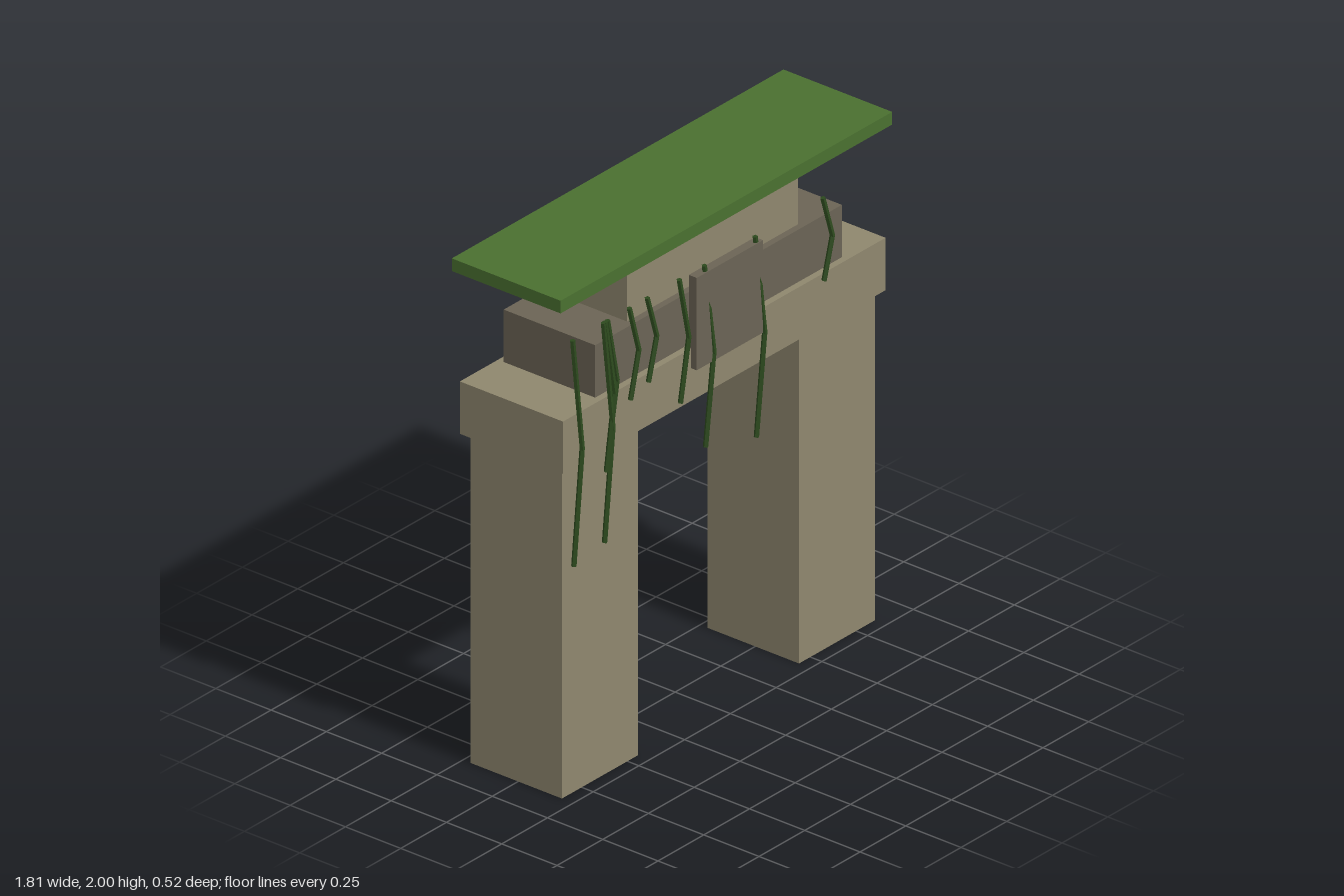
import * as THREE from 'three';

const material = (color) => new THREE.MeshStandardMaterial({ color, flatShading: true });

export function createModel() {
  const model = new THREE.Group();
  model.name = 'stoneArch';

  const stone = material(0x8f876e);
  const darkStone = material(0x6b6455);
  const moss = material(0x4a7030);
  const vineGreen = material(0x2d4a1e);

  // Box given by its extents on each axis
  function block(name, mat, [x0, x1], [y0, y1], [z0, z1]) {
    const mesh = new THREE.Mesh(new THREE.BoxGeometry(x1 - x0, y1 - y0, z1 - z0), mat);
    mesh.position.set((x0 + x1) / 2, (y0 + y1) / 2, (z0 + z1) / 2);
    mesh.name = name;
    model.add(mesh);
  }

  // Pillars, lintel and stepped crown
  block('rightPillar', stone, [-0.858, -0.443], [0, 1.302], [-0.216, 0.198]);
  block('leftPillar', stone, [0.438, 0.853], [0, 1.302], [-0.216, 0.198]);
  block('lintel', stone, [-0.884, 0.88], [1.302, 1.509], [-0.242, 0.224]);
  block('middleStep', darkStone, [-0.676, 0.672], [1.509, 1.716], [-0.216, 0.198]);
  block('topStep', stone, [-0.47, 0.465], [1.716, 1.922], [-0.19, 0.172]);

  // Floating mossy slab and front plaque
  block('mossSlab', moss, [-0.909, 0.904], [1.95, 2], [-0.258, 0.234]);
  block('plaque', darkStone, [-0.184, 0.179], [1.432, 1.797], [0.214, 0.25]);

  // Hanging vines, each bent once halfway down: [x, bottom y]
  const vines = [
    [-0.848, 0.93], [-0.68, 0.955], [-0.67, 1.23], [-0.657, 1.32], [-0.538, 1.46],
    [-0.44, 1.49], [-0.265, 1.335], [-0.128, 1.105], [0.15, 1.03], [0.52, 1.495],
  ];
  const up = new THREE.Vector3(0, 1, 0);
  const topY = 1.82;

  function stem(a, b) {
    const dir = b.clone().sub(a);
    const mesh = new THREE.Mesh(new THREE.CylinderGeometry(0.01, 0.01, dir.length(), 5), vineGreen);
    mesh.position.copy(a).add(b).multiplyScalar(0.5);
    mesh.quaternion.setFromUnitVectors(up, dir.normalize());
    mesh.name = 'vineStem';
    return mesh;
  }

  for (const [x, bottomY] of vines) {
    const top = new THREE.Vector3(x, topY, 0.237);
    const bend = new THREE.Vector3(x + 0.04, (topY + bottomY) / 2, 0.248);
    const tip = new THREE.Vector3(x, bottomY, 0.244);
    const vine = new THREE.Group();
    vine.name = 'vine';
    vine.add(stem(top, bend), stem(bend, tip));
    model.add(vine);
  }

  return model;
}
